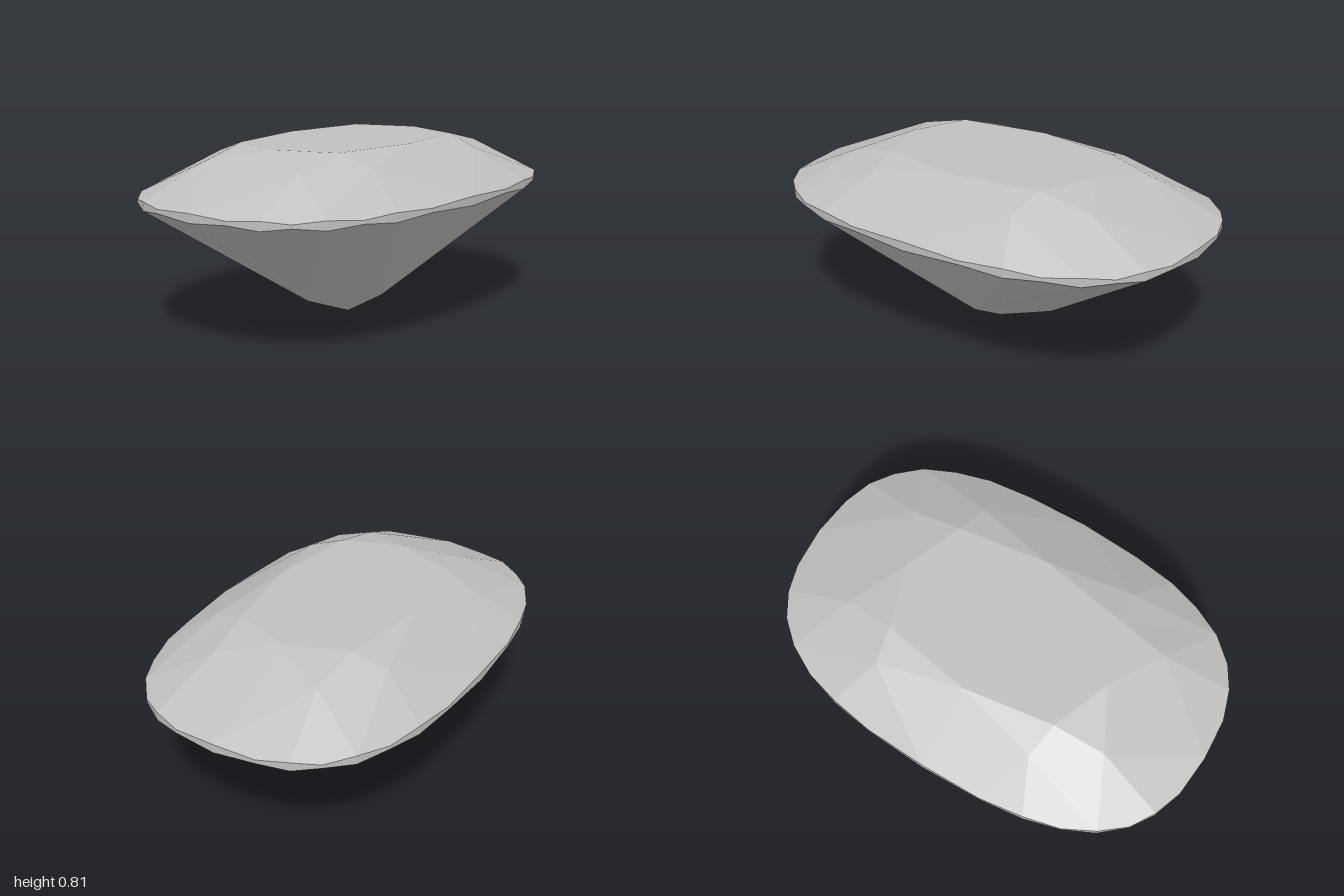
import * as THREE from 'three';

const WIDTH = 2 / 3; // the stone is laid out on a unit plan, then narrowed in x
const TABLE_Y = 0.805, RIM_TOP = 0.612, RIM_LOW = 0.572;

const v = (x, y, z) => new THREE.Vector3(x, y, z);

// Height of the plane through a, b, c at (x, z)
function planeY(a, b, c, [x, z]) {
  const n = b.clone().sub(a).cross(c.clone().sub(a));
  return a.y - (n.x * (x - a.x) + n.z * (z - a.z)) / n.y;
}

// Repeat the facets of one eighth all round: four turns, each mirrored
function facetMesh(name, facets, material) {
  const centre = v(0, 0.45, 0);
  const positions = [];
  for (let turn = 0; turn < 4; turn++) {
    for (const mirror of [1, -1]) {
      const place = (p) => {
        const q = v(p.x * mirror, p.y, p.z).applyAxisAngle(v(0, 1, 0), turn * Math.PI / 2);
        q.x *= WIDTH;
        return q;
      };
      for (const facet of facets) {
        const pts = facet.map(place);
        for (let i = 1; i < pts.length - 1; i++) {
          let [a, b, c] = [pts[0], pts[i], pts[i + 1]];
          // The stone is convex, so every facet faces away from its centre
          const n = b.clone().sub(a).cross(c.clone().sub(a));
          if (n.dot(a.clone().sub(centre)) < 0) [b, c] = [c, b];
          for (const p of [a, b, c]) positions.push(p.x, p.y, p.z);
        }
      }
    }
  }
  const geometry = new THREE.BufferGeometry();
  geometry.setAttribute('position', new THREE.Float32BufferAttribute(positions, 3));
  geometry.computeVertexNormals(); // unshared corners give flat facets
  const mesh = new THREE.Mesh(geometry, material);
  mesh.name = name;
  return mesh;
}

export function createModel() {
  const stone = new THREE.MeshStandardMaterial({ color: 0xc0c0c0 });
  stone.name = 'pale grey stone';

  // Outline of one eighth, from the end of the stone to its corner
  const rim = [[0, 1], [0.284, 0.986], [0.48, 0.942], [0.638, 0.878], [0.773, 0.773]];

  // Crown and pavilion corners
  const tableEnd = v(0, TABLE_Y, 0.507);
  const tableCorner = v(0.408, TABLE_Y, 0.408);
  const crownMid = v(0.38, 0.753, 0.64);
  const pavilionMid = v(0, 0.105, 0.285);
  const culet = v(0, 0, 0);

  // Rim edges: even points are level, odd points lie in the facet planes, giving scallops
  const rimLine = (level, apex) => {
    const line = rim.map(([x, z]) => v(x, level, z));
    for (const i of [1, 3]) line[i].y = planeY(apex, line[i - 1], line[i + 1], rim[i]);
    return line;
  };
  const top = rimLine(RIM_TOP, crownMid);
  const low = rimLine(RIM_LOW, pavilionMid);

  const table = [[v(0, TABLE_Y, 0), tableEnd, tableCorner]];
  const crown = [
    [tableEnd, crownMid, tableCorner],      // star
    [tableEnd, top[0], crownMid],           // half of end kite
    [tableCorner, crownMid, top[4]],        // half of corner kite
    [crownMid, top[0], top[1], top[2]],     // upper rim facets
    [crownMid, top[2], top[3], top[4]],
  ];
  const girdle = [0, 1, 2, 3].map((i) => [top[i], low[i], low[i + 1], top[i + 1]]);
  const pavilion = [
    [culet, pavilionMid, low[4]],           // half of corner main
    [pavilionMid, low[0], low[1], low[2]],  // lower rim facets
    [pavilionMid, low[2], low[3], low[4]],
  ];

  const gem = new THREE.Group();
  gem.name = 'cutGem';
  gem.add(
    facetMesh('table', table, stone),
    facetMesh('crown', crown, stone),
    facetMesh('girdle', girdle, stone),
    facetMesh('pavilion', pavilion, stone),
  );
  return gem;
}
